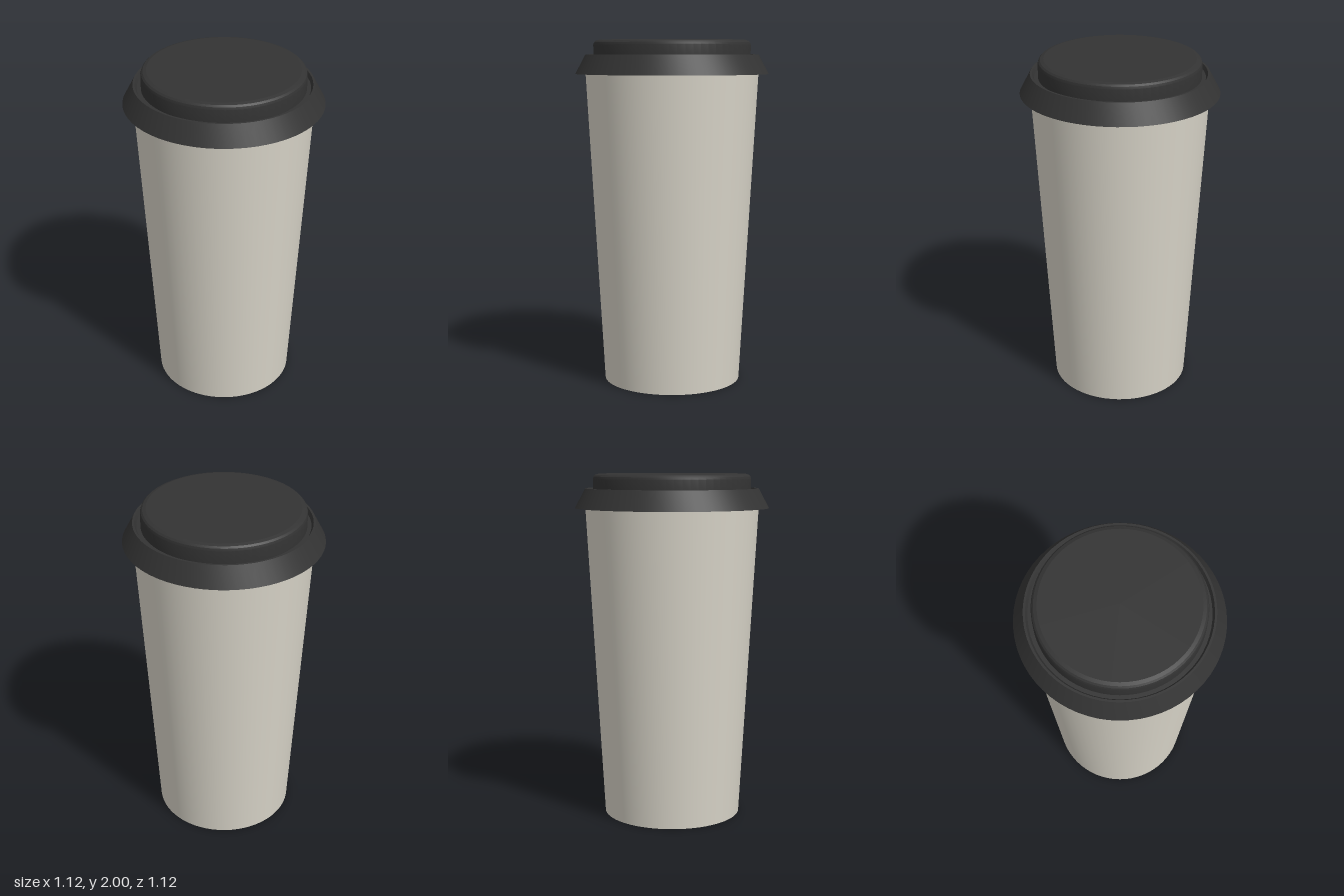
import * as THREE from 'three';
import { toCreasedNormals } from 'three/addons/utils/BufferGeometryUtils.js';

const SEGMENTS = 64;

// Turn a profile of [radius, height] points, with crisp edges kept sharp
function turned(name, profile, material) {
  const points = profile.map(([r, y]) => new THREE.Vector2(r, y));
  const geometry = toCreasedNormals(new THREE.LatheGeometry(points, SEGMENTS), 0.3);
  const mesh = new THREE.Mesh(geometry, material);
  mesh.name = name;
  return mesh;
}

export function createModel() {
  const paper = new THREE.MeshStandardMaterial({ color: 0xd8d4c8 });
  paper.name = 'warm grey paper';
  const plastic = new THREE.MeshStandardMaterial({ color: 0x333333 });
  plastic.name = 'black plastic';

  const group = new THREE.Group();
  group.name = 'takeawayCup';

  // Tapered cup with a recessed base and a standing ring
  group.add(turned('cup', [
    [0, 0.05], [0.33, 0.05], [0.365, 0], [0.4, 0], [0.505, 1.88],
  ], paper));

  // Lid: flared skirt, shallow groove, raised top with a softened edge
  group.add(turned('lid', [
    [0.49, 1.86], [0.552, 1.805], [0.56, 1.805],
    [0.5, 1.917], [0.488, 1.917], [0.477, 1.895], [0.455, 1.895],
    [0.455, 1.972], [0.451, 1.985], [0.442, 1.994], [0.423, 2], [0, 2],
  ], plastic));

  return group;
}
